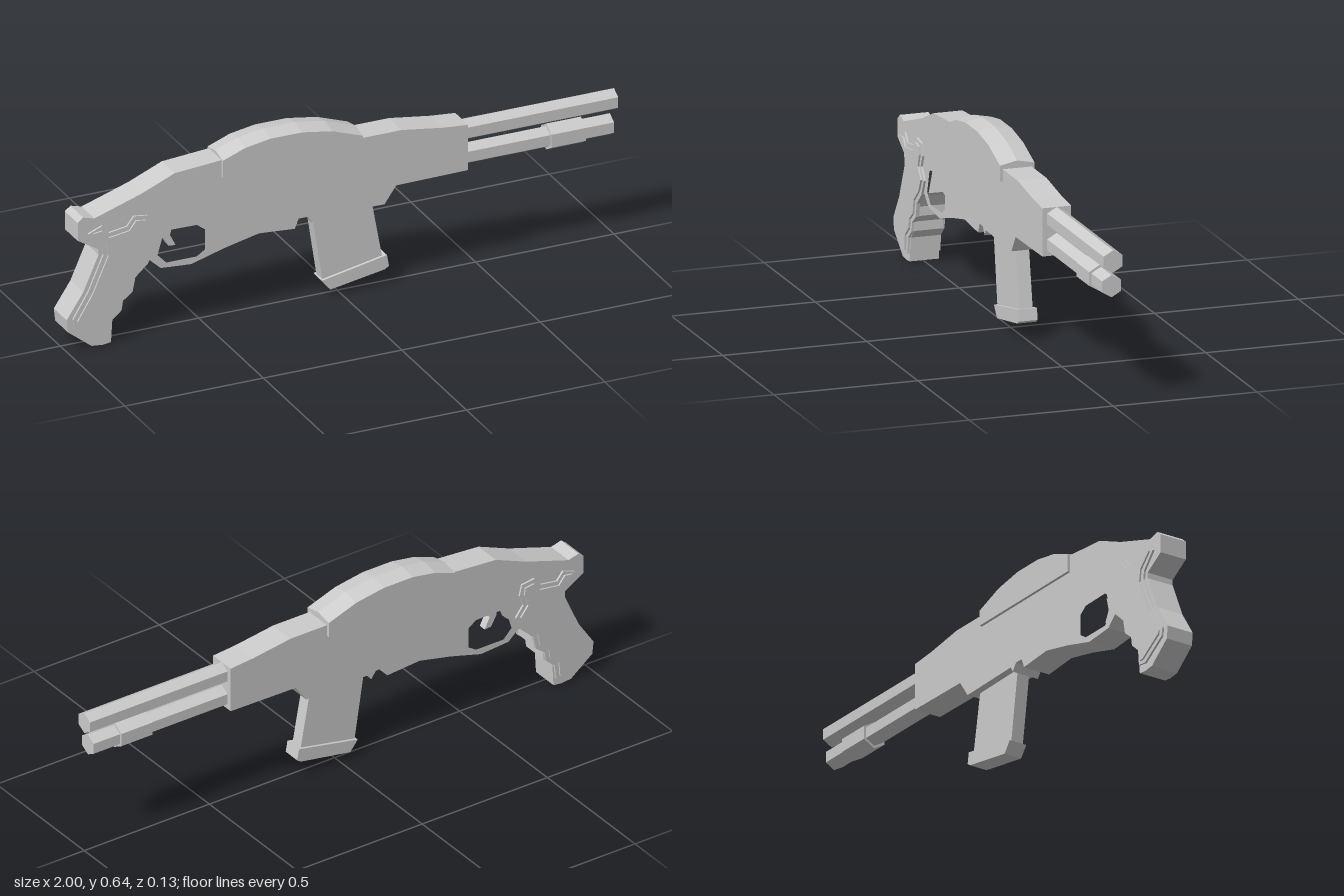
import * as THREE from 'three';

export function createModel() {
  const group = new THREE.Group();
  const mat = new THREE.MeshStandardMaterial({ color: 0xcccccc, flatShading: true });

  const add = (name, geo) => {
    const mesh = new THREE.Mesh(geo, mat);
    mesh.name = name;
    group.add(mesh);
    return mesh;
  };
  const vec = pts => pts.map(([x, y]) => new THREE.Vector2(x, y));

  // Side profile given thickness between z0 and z1
  const slab = (name, pts, z0, z1, hole) => {
    const shape = new THREE.Shape(vec(pts));
    if (hole) shape.holes.push(new THREE.Path(vec(hole)));
    const geo = new THREE.ExtrudeGeometry(shape, { depth: z1 - z0, bevelEnabled: false });
    return add(name, geo.translate(0, 0, z0));
  };

  // Receiver, stock end, grip and trigger guard in one profile
  slab('body', [
    [-0.96, 0.46], [-0.94, 0.476], [-0.90, 0.465], [-0.73, 0.52], [-0.61, 0.57], [-0.44, 0.583],
    [0.06, 0.56], [0.21, 0.56], [0.36, 0.538], [0.45, 0.53], [0.45, 0.366], [0.19, 0.363],
    [0.148, 0.303], [-0.10, 0.308], [-0.112, 0.288], [-0.13, 0.314], [-0.162, 0.314], [-0.176, 0.28],
    [-0.305, 0.29], [-0.43, 0.262], [-0.55, 0.228], [-0.66, 0.236], [-0.70, 0.272], [-0.735, 0.253],
    [-0.765, 0.21], [-0.765, 0.178], [-0.80, 0.15], [-0.80, 0.118], [-0.835, 0.086], [-0.84, 0.004],
    [-0.87, 0], [-0.91, 0.004], [-0.995, 0.07], [-1, 0.115], [-0.94, 0.205], [-0.885, 0.33],
    [-0.885, 0.35], [-0.96, 0.395],
  ], -0.05, 0.05, [
    [-0.64, 0.368], [-0.53, 0.366], [-0.50, 0.344], [-0.50, 0.272], [-0.53, 0.252],
    [-0.64, 0.252], [-0.672, 0.285], [-0.65, 0.362],
  ]);

  slab('trigger', [
    [-0.638, 0.375], [-0.598, 0.375], [-0.61, 0.33], [-0.59, 0.29], [-0.615, 0.292], [-0.638, 0.33],
  ], -0.014, 0.014);

  // Two stacked grip panels per side, the outer one inset
  const panel = [
    [-0.925, 0.415], [-0.875, 0.435], [-0.85, 0.405], [-0.785, 0.415], [-0.76, 0.447], [-0.71, 0.44],
    [-0.70, 0.40], [-0.715, 0.36], [-0.685, 0.32], [-0.71, 0.265], [-0.755, 0.225], [-0.765, 0.175],
    [-0.80, 0.148], [-0.805, 0.115], [-0.84, 0.085], [-0.845, 0.03], [-0.88, 0.025], [-0.975, 0.085],
    [-0.98, 0.115], [-0.925, 0.205], [-0.87, 0.33], [-0.875, 0.36],
  ];
  const inset = (pts, d) => pts.map((p, i) => {
    const a = pts[(i + pts.length - 1) % pts.length], b = pts[(i + 1) % pts.length];
    const tx = b[0] - a[0], ty = b[1] - a[1], l = Math.hypot(tx, ty);
    return [p[0] + d * ty / l, p[1] - d * tx / l];
  });
  const small = inset(panel, 0.016);
  for (const [side, s] of [['left', 1], ['right', -1]]) {
    const span = (a, b) => s > 0 ? [a, b] : [-b, -a];
    slab(side + 'GripPanel', panel, ...span(0.045, 0.057));
    slab(side + 'GripPanelInset', small, ...span(0.055, 0.063));
  }

  // Magazine and its base plate
  slab('magazine', [[-0.105, 0.33], [0.11, 0.33], [0.152, 0.10], [-0.064, 0.06]].map(
    ([x, y]) => [x, y]), -0.023, 0.023);
  slab('magazineBase', [
    [-0.07, 0.062], [0.165, 0.108], [0.172, 0.068], [0.158, 0.058], [-0.04, 0.024],
  ], -0.033, 0.033);

  // Arched top cover with a ridge along the middle
  const top = [[-0.44, 0.585], [-0.36, 0.615], [-0.27, 0.63], [-0.155, 0.63], [-0.045, 0.612], [0.065, 0.573]];
  const rings = top.map(([x, y]) => [
    [x, 0.522 - 0.006 * (x + 0.44), -0.06], [x, y, -0.06], [x, y + 0.012, 0], [x, y, 0.06],
    [x, 0.522 - 0.006 * (x + 0.44), 0.06],
  ]);
  const pos = [];
  const tri = (a, b, c) => pos.push(...a, ...b, ...c);
  for (let i = 0; i < rings.length - 1; i++) {
    for (let j = 0; j < 5; j++) {
      const k = (j + 1) % 5, A = rings[i], B = rings[i + 1];
      tri(A[j], A[k], B[j]);
      tri(A[k], B[k], B[j]);
    }
  }
  const first = rings[0], last = rings[rings.length - 1];
  for (let j = 1; j < 4; j++) {
    tri(first[0], first[j + 1], first[j]);
    tri(last[0], last[j], last[j + 1]);
  }
  const cover = new THREE.BufferGeometry();
  cover.setAttribute('position', new THREE.Float32BufferAttribute(pos, 3));
  cover.computeVertexNormals();
  add('topCover', cover);

  // Six-sided tubes pointing forward, corner up
  const hexTube = (name, x0, x1, y, r) => {
    const geo = new THREE.CylinderGeometry(r, r, x1 - x0, 6);
    geo.rotateY(Math.PI / 2).rotateZ(-Math.PI / 2).translate((x0 + x1) / 2, y, 0);
    add(name, geo);
  };
  hexTube('barrel', 0.42, 1, 0.492, 0.038);
  hexTube('lowerTube', 0.42, 0.985, 0.404, 0.038);
  hexTube('tubeCollar', 0.755, 0.88, 0.404, 0.047);

  return group;
}
